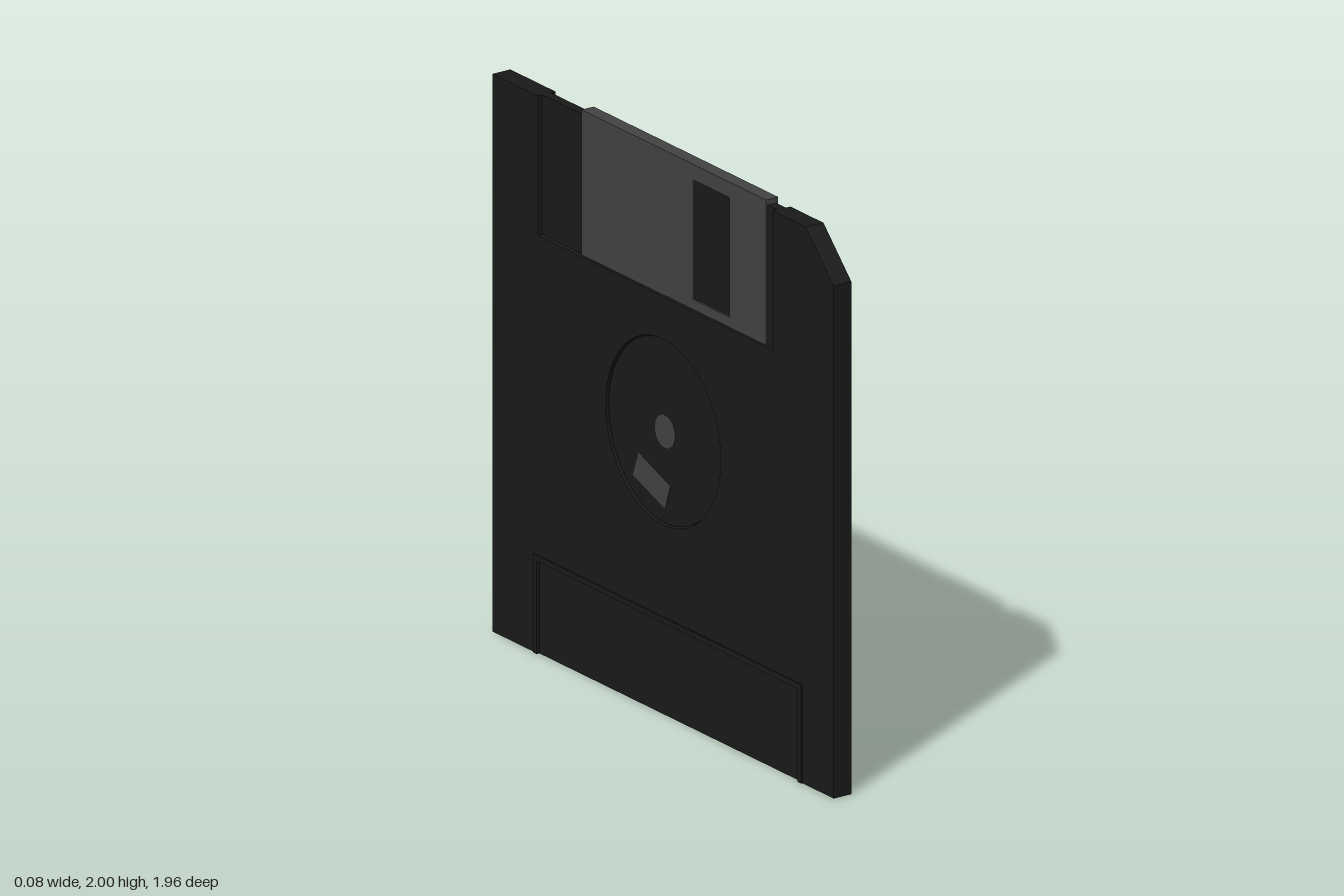
import * as THREE from 'three';

const dark = new THREE.MeshStandardMaterial({ color: 0x1a1a1a });
const metal = new THREE.MeshStandardMaterial({ color: 0x424242 });

const toPoints = (pairs) => pairs.map(([z, y]) => new THREE.Vector2(z, y));
const rect = (z0, z1, y0, y1) => [[z0, y0], [z1, y0], [z1, y1], [z0, y1]];

function circlePath(z, y, r) {
  const path = new THREE.Path();
  path.absarc(z, y, r, 0, Math.PI * 2, true);
  return path;
}

// Plate drawn in the (z, y) plane with its thickness centred on x = 0
function plate(name, outline, halfThickness, material, holes = []) {
  const shape = new THREE.Shape(toPoints(outline));
  shape.holes.push(...holes);
  const geometry = new THREE.ExtrudeGeometry(shape, {
    depth: halfThickness * 2, bevelEnabled: false, curveSegments: 64,
  });
  geometry.translate(0, 0, -halfThickness).rotateY(-Math.PI / 2);
  const mesh = new THREE.Mesh(geometry, material);
  mesh.name = name;
  return mesh;
}

function drum(name, radius, halfThickness, y, material) {
  const geometry = new THREE.CylinderGeometry(radius, radius, halfThickness * 2, 64);
  geometry.rotateZ(Math.PI / 2);
  const mesh = new THREE.Mesh(geometry, material);
  mesh.name = name;
  mesh.position.y = y;
  return mesh;
}

export function createModel() {
  const model = new THREE.Group();
  model.name = 'floppyDisk';
  const hubY = 1.005;

  // Case with a clipped corner, open at the label, shutter and disc
  const caseOutline = [
    [-0.98, 0], [-0.72, 0], [-0.72, 0.33], [0.78, 0.33], [0.78, 0], [0.98, 0],
    [0.98, 1.82], [0.82, 1.98], [0.63, 1.98], [0.63, 1.485],
    [-0.72, 1.485], [-0.72, 1.98], [-0.98, 1.98],
  ];
  model.add(plate('case', caseOutline, 0.036, dark, [circlePath(0, hubY, 0.33)]));

  // Thinner panels filling the label and shutter recesses
  model.add(plate('labelPanel', rect(-0.72, 0.78, 0, 0.33), 0.03, dark));
  model.add(plate('shutterTrack', rect(-0.72, 0.63, 1.485, 1.98), 0.018, dark));

  // Raised rim around the label, open at the bottom edge
  const rim = [
    [-0.74, 0], [-0.72, 0], [-0.72, 0.33], [0.78, 0.33],
    [0.78, 0], [0.8, 0], [0.8, 0.35], [-0.74, 0.35],
  ];
  model.add(plate('labelRim', rim, 0.041, dark));

  // Sliding shutter with its window
  const slot = new THREE.Path(toPoints(rect(0.155, 0.365, 1.52, 1.945)));
  model.add(plate('shutter', rect(-0.485, 0.575, 1.485, 2), 0.025, metal, [slot]));

  // Disc, spindle hub and drive slot, showing on both sides
  model.add(drum('disc', 0.3255, 0.027, hubY, dark));
  model.add(drum('hub', 0.058, 0.0285, hubY, metal));
  const driveSlot = [[0, 0.73], [0.03, 0.82], [-0.152, 0.885], [-0.185, 0.795]];
  model.add(plate('driveSlot', driveSlot, 0.0285, metal));

  return model;
}
